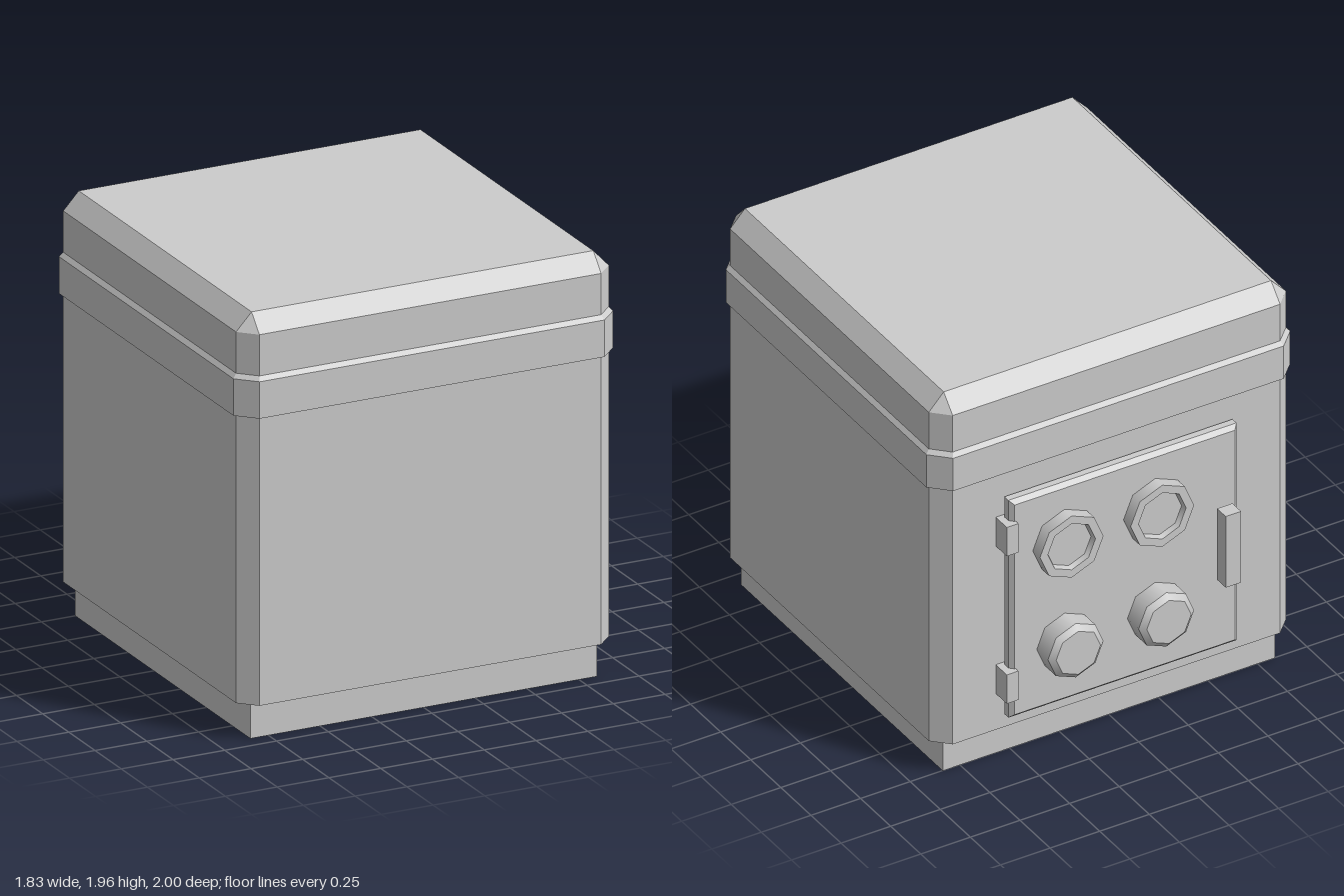
import * as THREE from 'three';
import { mergeGeometries } from 'three/addons/utils/BufferGeometryUtils.js';

const grey = new THREE.MeshStandardMaterial({ color: 0xcccccc, side: THREE.DoubleSide });
grey.name = 'grey';

const CENTRE_Z = 0.085; // middle of the box body
const DOOR_Z = -0.885;  // outer face of the door

function add(parent, name, geometry, x = 0, y = 0, z = 0) {
  const mesh = new THREE.Mesh(geometry, grey);
  mesh.name = name;
  mesh.position.set(x, y, z);
  parent.add(mesh);
  return mesh;
}

function box(parent, name, x0, x1, y0, y1, z0, z1) {
  return add(parent, name, new THREE.BoxGeometry(x1 - x0, y1 - y0, z1 - z0),
    (x0 + x1) / 2, (y0 + y1) / 2, (z0 + z1) / 2);
}

// Flat-faced open shell through square rings with cut corners: [half width, half flat, y]
function shell(rings) {
  const loops = rings.map(([h, f, y]) => [
    [f, h], [h, f], [h, -f], [f, -h], [-f, -h], [-h, -f], [-h, f], [-f, h],
  ].map(([x, z]) => [x, y, z]));
  const pos = [];
  for (let r = 0; r < loops.length - 1; r++) {
    for (let i = 0; i < 8; i++) {
      const j = (i + 1) % 8;
      const a = loops[r][i], b = loops[r][j], c = loops[r + 1][j], d = loops[r + 1][i];
      pos.push(...a, ...b, ...c, ...a, ...c, ...d);
    }
  }
  const g = new THREE.BufferGeometry();
  g.setAttribute('position', new THREE.Float32BufferAttribute(pos, 3));
  g.computeVertexNormals();
  return g;
}

// Eight-sided turned part facing -z: smooth around, sharp between profile steps
function turned(profile) {
  const steps = [];
  for (let i = 0; i < profile.length - 1; i++) {
    const pts = [profile[i], profile[i + 1]].map(([r, h]) => new THREE.Vector2(r, h));
    steps.push(new THREE.LatheGeometry(pts, 8));
  }
  return mergeGeometries(steps).rotateX(-Math.PI / 2);
}

function polygon(points, Type = THREE.Shape) {
  return new Type(points.map(([x, y]) => new THREE.Vector2(x, y)));
}

function circlePoints(radius) {
  return Array.from({ length: 20 }, (_, i) => {
    const a = (i / 20) * Math.PI * 2;
    return [radius * Math.cos(a), radius * Math.sin(a)];
  });
}

export function createModel() {
  const model = new THREE.Group();
  model.name = 'medicalCrate';

  // Hollow body and lid, open underneath
  add(model, 'body', shell([
    [0.9, 0.825, 0.17], [0.9, 0.825, 1.5],
  ]), 0, 0, CENTRE_Z);
  add(model, 'lidBand', shell([
    [0.9, 0.825, 1.5], [0.917, 0.833, 1.5], [0.917, 0.833, 1.67], [0.9, 0.825, 1.69],
  ]), 0, 0, CENTRE_Z);
  add(model, 'lid', shell([
    [0.9, 0.825, 1.69], [0.9, 0.825, 1.88], [0.825, 0.825, 1.96],
  ]), 0, 0, CENTRE_Z);
  add(model, 'base', shell([
    [0.837, 0.837, 0], [0.837, 0.837, 0.17],
  ]), 0, 0, CENTRE_Z);

  // Top face with inset ring, disc and cross
  const s = 0.825, w = 0.05, l = 0.31;
  const outer = circlePoints(0.485), inner = circlePoints(0.39);
  const cross = [
    [w, w], [w, l], [-w, l], [-w, w], [-l, w], [-l, -w],
    [-w, -w], [-w, -l], [w, -l], [w, -w], [l, -w], [l, w],
  ];
  const topParts = [
    ['lidTop', [[-s, -s], [s, -s], [s, s], [-s, s]], outer],
    ['emblemRing', outer, inner],
    ['emblemDisc', inner, cross],
    ['emblemCross', cross, null],
  ];
  for (const [name, outline, hole] of topParts) {
    const shape = polygon(outline);
    if (hole) shape.holes.push(polygon(hole, THREE.Path));
    add(model, name, new THREE.ShapeGeometry(shape).rotateX(-Math.PI / 2), 0, 1.96, CENTRE_Z);
  }

  // Bevelled door on the back
  const door = new THREE.Group();
  door.name = 'door';
  model.add(door);
  const dw = 0.555, dh = 0.545, bevel = 0.02;
  const panel = new THREE.ExtrudeGeometry(
    polygon([[-dw, -dh], [dw, -dh], [dw, dh], [-dw, dh]]),
    { depth: 0.033, bevelEnabled: true, bevelSize: bevel, bevelThickness: bevel, bevelSegments: 1 });
  add(door, 'doorPanel', panel, 0, 0.815, DOOR_Z + bevel);

  // Hinges
  for (const y of [1.2, 0.433]) {
    box(door, 'hinge', 0.55, 0.608, y - 0.075, y + 0.075, -0.907, -0.815);
  }

  // Handle on two posts
  box(door, 'handleBar', -0.53, -0.453, 0.63, 1.0, -0.977, -0.905);
  for (const y of [0.695, 0.935]) {
    box(door, 'handlePost', -0.515, -0.465, y - 0.025, y + 0.025, -0.905, DOOR_Z);
  }

  // Gauges above, knobs below
  const gauge = turned([[0.16, 0], [0.16, 0.06], [0.12, 0.06], [0.112, 0.035], [0, 0.035]]);
  const knob = turned([[0.14, 0], [0.14, 0.093], [0.112, 0.115], [0, 0.115]]);
  for (const x of [-0.153, 0.304]) {
    add(door, 'gauge', gauge, x, 1.09, DOOR_Z);
    add(door, 'knob', knob, x, 0.57, DOOR_Z);
  }

  return model;
}
